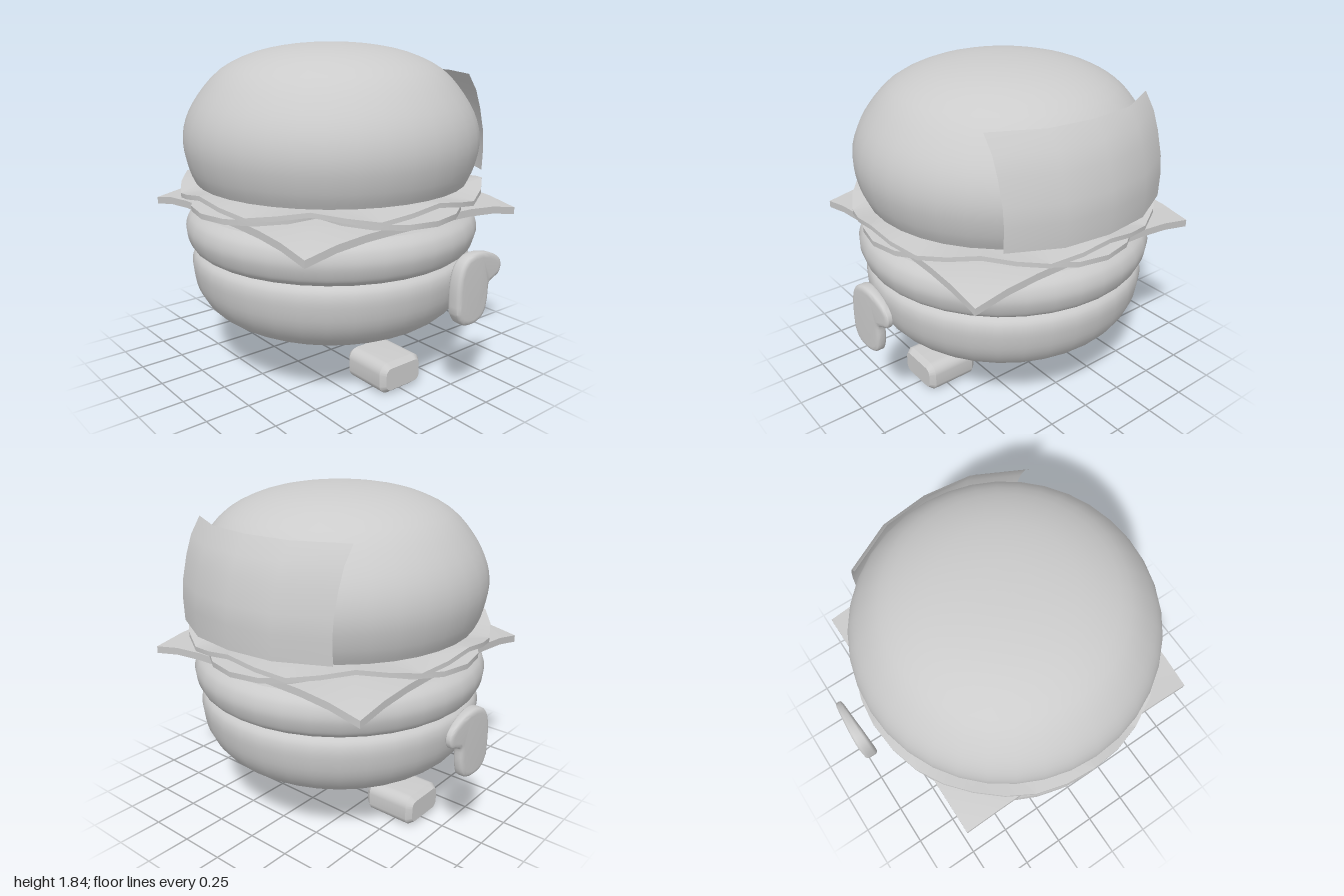
import * as THREE from 'three';
import { toCreasedNormals } from 'three/addons/utils/BufferGeometryUtils.js';

const grey = new THREE.MeshStandardMaterial({ color: 0xcccccc });
const greyThin = new THREE.MeshStandardMaterial({ color: 0xcccccc, side: THREE.DoubleSide });

function add(group, name, geometry, material = grey) {
  const mesh = new THREE.Mesh(geometry, material);
  mesh.name = name;
  group.add(mesh);
  return mesh;
}

// move every vertex by a rule, then rebuild the normals
function deform(geometry, rule, crease = 0.6) {
  const p = geometry.attributes.position;
  const v = new THREE.Vector3();
  for (let i = 0; i < p.count; i++) {
    rule(v.fromBufferAttribute(p, i));
    p.setXYZ(i, v.x, v.y, v.z);
  }
  return toCreasedNormals(geometry, crease);
}

// smooth round body with a flat bottom and top where asked
function roundBody(points, flatBottom, flatTop) {
  const curve = new THREE.SplineCurve(points.map(([r, y]) => new THREE.Vector2(r, y)));
  const profile = curve.getPoints(24).map((p) => p.setX(Math.max(0, p.x)));
  if (flatBottom) profile.unshift(new THREE.Vector2(0, profile[0].y));
  if (flatTop) profile.push(new THREE.Vector2(0, profile[profile.length - 1].y));
  return toCreasedNormals(new THREE.LatheGeometry(profile, 36), 0.7);
}

// wavy disc with eight ripples growing toward the rim
function lettuceGeometry() {
  const profile = [[0, 1.045], [0.5, 1.045], [0.7, 1.045], [0.85, 1.045], [0.85, 1.07], [0.7, 1.07], [0.5, 1.07], [0, 1.07]];
  const geometry = new THREE.LatheGeometry(profile.map(([r, y]) => new THREE.Vector2(r, y)), 32);
  return deform(geometry, (v) => {
    const r = Math.hypot(v.x, v.z);
    v.y += 0.028 * Math.pow(r / 0.85, 3) * Math.cos(8 * Math.atan2(v.x, v.z));
  }, 0.3);
}

// mitten with a thumb, thinner toward the thumb
function handGeometry() {
  const outline = [[0.03, 0.56], [0.03, 0.7], [0.06, 0.79], [0.13, 0.82], [0.23, 0.805], [0.305, 0.765], [0.31, 0.725],
    [0.28, 0.71], [0.225, 0.68], [0.215, 0.59], [0.195, 0.525], [0.14, 0.5], [0.065, 0.51]];
  const shape = new THREE.Shape();
  const curve = new THREE.SplineCurve([...outline, outline[0]].map(([x, y]) => new THREE.Vector2(x, y)));
  shape.setFromPoints(curve.getPoints(48).slice(0, -1));
  const geometry = new THREE.ExtrudeGeometry(shape, {
    depth: 0.036, bevelThickness: 0.022, bevelSize: 0.026, bevelSegments: 4, steps: 1,
  });
  geometry.translate(0, 0, -0.018);
  return deform(geometry, (v) => { v.z *= 1.05 - 1.6 * v.x; });
}

// rounded block with chamfered ends
function footGeometry() {
  const w = 0.12, h = 0.0625, r = 0.035;
  const shape = new THREE.Shape();
  shape.absarc(w - r, h - r, r, 0, Math.PI / 2);
  shape.absarc(r - w, h - r, r, Math.PI / 2, Math.PI);
  shape.absarc(r - w, r - h, r, Math.PI, Math.PI * 1.5);
  shape.absarc(w - r, r - h, r, Math.PI * 1.5, Math.PI * 2);
  const geometry = new THREE.ExtrudeGeometry(shape, {
    depth: 0.25, bevelThickness: 0.03, bevelSize: 0.025, bevelSegments: 1, curveSegments: 5,
  });
  geometry.translate(0, 0.0875, -0.125);
  return toCreasedNormals(geometry, 0.6);
}

// curved sheet hugging the side of the top bun
function panelGeometry() {
  const rows = [[0.845, 1.12], [0.85, 1.25], [0.84, 1.35], [0.805, 1.48], [0.765, 1.58], [0.7, 1.67]];
  const geometry = new THREE.PlaneGeometry(1.06, 1, 4, rows.length - 1);
  const p = geometry.attributes.position;
  for (let i = 0; i < p.count; i++) {
    const [radius, y] = rows[Math.round((p.getY(i) + 0.5) * (rows.length - 1))];
    const z = -p.getX(i);
    p.setXYZ(i, radius - 0.165 * Math.pow(Math.abs(z) / 0.53, 2.4), y, z);
  }
  geometry.computeVertexNormals();
  return geometry;
}

export function createModel() {
  const model = new THREE.Group();
  model.name = 'burger';

  // buns and patty
  add(model, 'bottomBun', roundBody([[0, 0.248], [0.3, 0.258], [0.56, 0.3], [0.7, 0.375], [0.775, 0.48],
    [0.802, 0.6], [0.795, 0.67], [0.765, 0.705]], false, true));
  add(model, 'patty', roundBody([[0.765, 0.705], [0.805, 0.74], [0.83, 0.82], [0.815, 0.89], [0.77, 0.94]], true, true));
  add(model, 'topBun', roundBody([[0.765, 1.09], [0.8, 1.17], [0.825, 1.3], [0.805, 1.43], [0.735, 1.56],
    [0.61, 1.695], [0.42, 1.785], [0.2, 1.828], [0, 1.838]], true, false));

  // square cheese slice with drooping corners
  add(model, 'cheese', deform(new THREE.BoxGeometry(1.47, 0.04, 1.47, 8, 1, 8), (v) => {
    v.y += 0.965 - 0.59 * Math.pow(Math.max(0, Math.hypot(v.x, v.z) - 0.735), 2);
  }));

  // four tomato slices leaning outward
  for (let i = 0; i < 4; i++) {
    const slice = new THREE.CylinderGeometry(0.43, 0.43, 0.03, 16);
    slice.rotateX(0.06).translate(0, 1.017, 0.415).rotateY(i * Math.PI / 2);
    add(model, 'tomatoSlice', slice);
  }

  add(model, 'lettuce', lettuceGeometry(), greyThin);
  add(model, 'facePanel', panelGeometry(), greyThin);

  // floating hands and feet on both sides
  for (const side of [1, -1]) {
    add(model, side > 0 ? 'frontHand' : 'backHand', handGeometry()).position.z = side * 0.957;
    add(model, side > 0 ? 'frontFoot' : 'backFoot', footGeometry()).position.z = side * 0.472;
  }
  return model;
}
